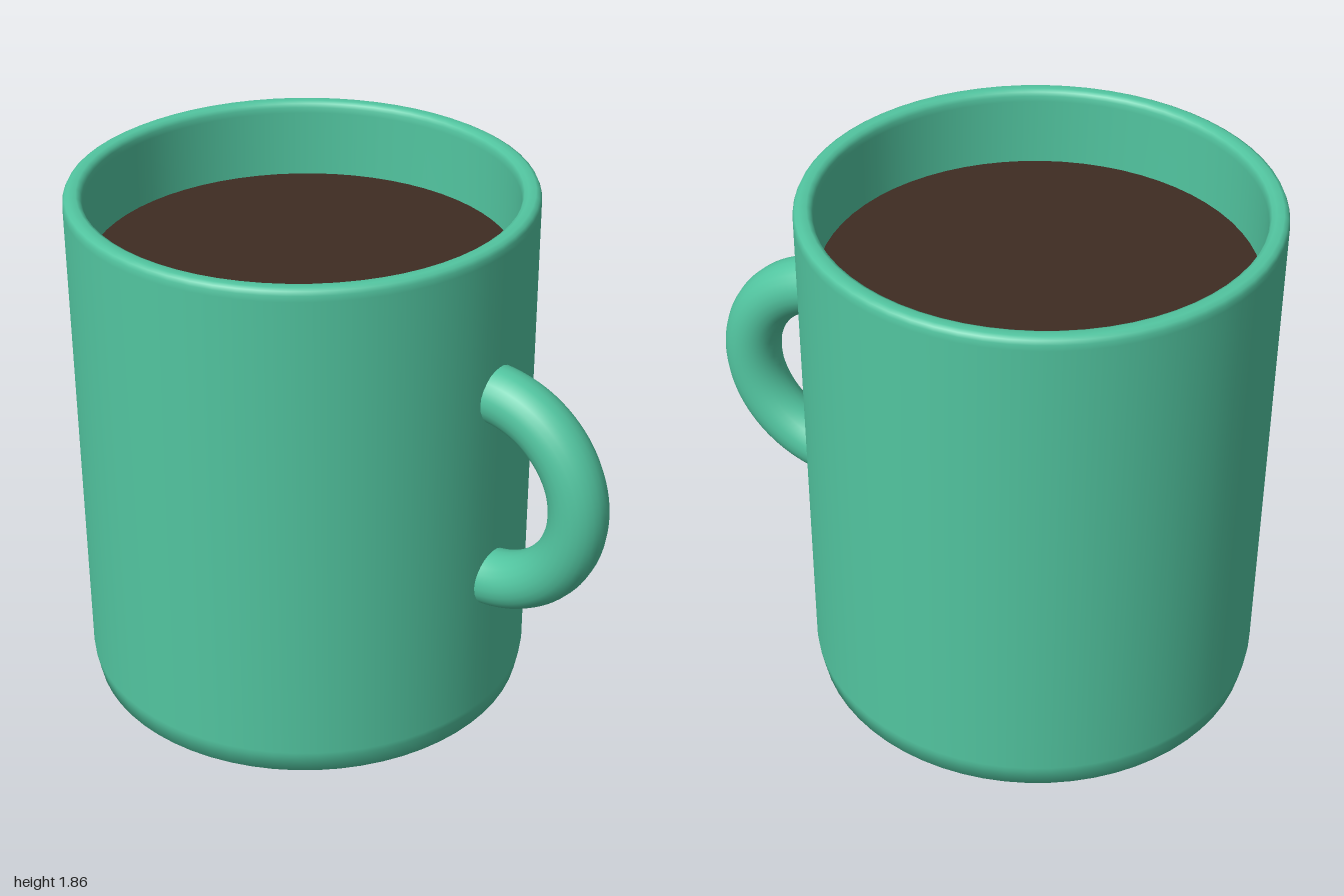
import * as THREE from 'three';

export function createModel() {
  const glaze = new THREE.MeshStandardMaterial({ color: 0x52c5a0 });
  glaze.name = 'green glaze';
  const coffee = new THREE.MeshStandardMaterial({ color: 0x3e2c22 });
  coffee.name = 'dark coffee';

  const model = new THREE.Group();
  model.name = 'mug';
  const add = (name, geometry, material, x, y) => {
    const mesh = new THREE.Mesh(geometry, material);
    mesh.name = name;
    mesh.position.set(x, y, 0);
    model.add(mesh);
    return mesh;
  };
  const axisX = -0.21;

  // Hollow body: underside, bevelled foot, outer wall, rounded rim, inner wall, floor
  const profile = [
    [0, 0], [0.71, 0], [0.725, 0.001], [0.775, 0.025], [0.788, 0.09], [0.79, 0.11],
    [0.79, 1.82], [0.789, 1.84], [0.783, 1.853], [0.77, 1.86],
    [0.745, 1.86], [0.732, 1.853], [0.726, 1.84], [0.725, 1.82],
    [0.725, 0.12], [0.7, 0.08], [0, 0.08],
  ].map(([r, y]) => new THREE.Vector2(r, y));
  add('body', new THREE.LatheGeometry(profile, 64), glaze, axisX, 0);

  // Coffee surface
  const surface = add('coffee', new THREE.CircleGeometry(0.725, 64), coffee, axisX, 1.585);
  surface.rotation.x = -Math.PI / 2;

  // Half ring handle, its ends sunk into the wall
  const handle = add('handle', new THREE.TorusGeometry(0.355, 0.1, 24, 48, Math.PI), glaze, 0.545, 0.97);
  handle.rotation.z = -Math.PI / 2;

  return model;
}
